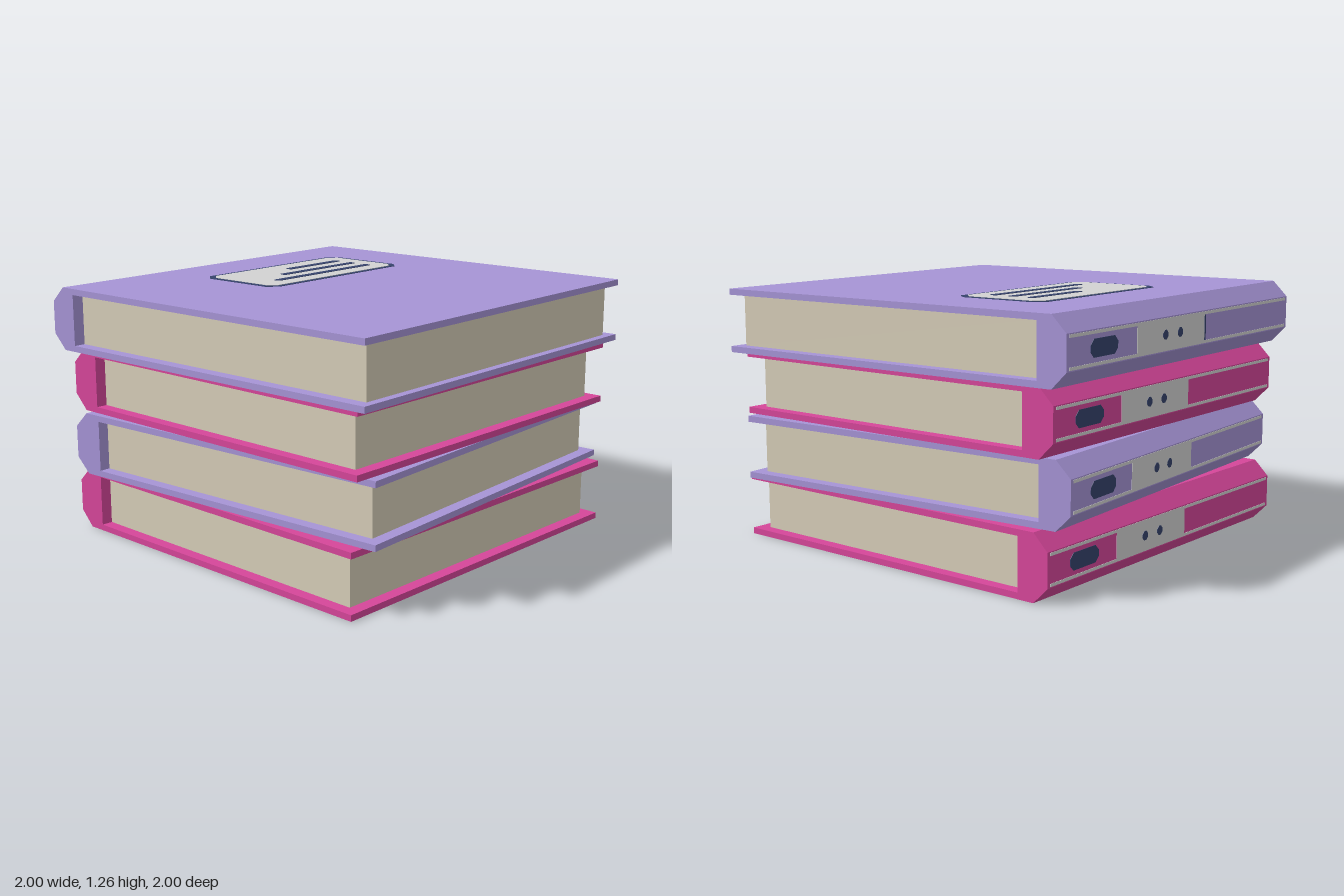
import * as THREE from 'three';

const mat = (name, color) => {
  const m = new THREE.MeshStandardMaterial({ color });
  m.name = name;
  return m;
};

const H = 0.3125; // height of one book
const T = 0.03;   // cover thickness

function polygon(points) {
  return new THREE.Shape(points.map(([x, y]) => new THREE.Vector2(x, y)));
}

// Thin plate in the xy plane with cut corners, growing along +z
function plate(w, h, cut, depth) {
  const a = w / 2, b = h / 2;
  const shape = polygon([
    [-a + cut, -b], [a - cut, -b], [a, -b + cut], [a, b - cut],
    [a - cut, b], [-a + cut, b], [-a, b - cut], [-a, -b + cut],
  ]);
  return new THREE.ExtrudeGeometry(shape, { depth, bevelEnabled: false });
}

function add(parent, name, geometry, material, x = 0, y = 0, z = 0) {
  const mesh = new THREE.Mesh(geometry, material);
  mesh.name = name;
  mesh.position.set(x, y, z);
  parent.add(mesh);
  return mesh;
}

export function createModel() {
  const purple = mat('purple cover', 0xa694d6);
  const pink = mat('pink cover', 0xd6469a);
  const paper = mat('paper', 0xd6cdb8);
  const grey = mat('label grey', 0xd2d2d2);
  const navy = mat('navy ink', 0x36436c);

  function book(name, cover, half, pageX, pageFront, pageBack) {
    const group = new THREE.Group();
    group.name = name;

    // Both covers and the bevelled spine as one C-shaped section
    const bevel = 0.076;
    const section = polygon([
      [half, 0], [half, T], [pageBack, T], [pageBack, H - T], [half, H - T], [half, H],
      [-half + bevel, H], [-half, H - bevel], [-half, bevel], [-half + bevel, 0],
    ]);
    const caseGeometry = new THREE.ExtrudeGeometry(section, { depth: half * 2, bevelEnabled: false });
    caseGeometry.translate(0, 0, -half).rotateY(-Math.PI / 2);
    add(group, 'coverAndSpine', caseGeometry, cover);

    // Page block
    add(group, 'pages', new THREE.BoxGeometry(pageX * 2, H - 2 * T, pageFront - pageBack), paper,
      0, H / 2, (pageFront + pageBack) / 2);

    // Painted details on the back of the spine
    const detail = (label, x, y, w, h, cut, depth, material) =>
      add(group, label, plate(w, h, cut, depth).rotateY(Math.PI), material, x * half, H / 2 + y, -half);
    for (const side of [-1, 1]) {
      detail('spineLine', 0, side * 0.068, half * 1.96, 0.014, 0.001, 0.002, grey);
    }
    detail('spineLabel', 0.16, 0, 0.6 * half, 0.122, 0.001, 0.002, grey);
    detail('spineMark', 0.72, 0, 0.21, 0.08, 0.025, 0.002, navy);
    for (const x of [0.09, 0.22]) {
      detail('spineDot', x, 0, 0.044, 0.044, 0.014, 0.004, navy);
    }
    return group;
  }

  const model = new THREE.Group();
  model.name = 'bookStack';

  // Three smaller books, each turned a little: colour, angle, x, z
  const lower = [
    [pink, -2.3, 0.002, 0.008],
    [purple, 2.0, 0.005, 0.008],
    [pink, -1.3, -0.003, 0.013],
  ];
  lower.forEach(([cover, degrees, x, z], i) => {
    const b = book(`book${i + 1}`, cover, 0.943, 0.885, 0.882, -0.78);
    b.position.set(x, i * H, z);
    b.rotation.y = THREE.MathUtils.degToRad(degrees);
    model.add(b);
  });

  // Larger top book
  const top = book('topBook', purple, 1, 0.94, 0.96, -0.85);
  top.position.y = 3 * H;
  model.add(top);
  add(top, 'spineEdgeLine', plate(0.01, 0.12, 0.001, 0.004).rotateY(Math.PI), navy, -0.14, H / 2, -1);

  // Title label on the top cover
  const label = new THREE.Group();
  label.name = 'titleLabel';
  label.position.set(0.16, H, -0.382);
  top.add(label);
  const flat = (w, h, cut, depth) => plate(w, h, cut, depth).rotateX(-Math.PI / 2);
  add(label, 'labelBorder', flat(1.0, 0.49, 0.05, 0.002), navy);
  add(label, 'labelPaper', flat(0.945, 0.44, 0.042, 0.004), grey);
  [[0.14, -0.48], [-0.02, -0.372], [-0.18, -0.265]].forEach(([start, z]) => {
    add(label, 'labelLine', flat(0.54 - start, 0.04, 0.008, 0.006), navy,
      (0.54 + start) / 2 - 0.16, 0, z + 0.382);
  });

  return model;
}
